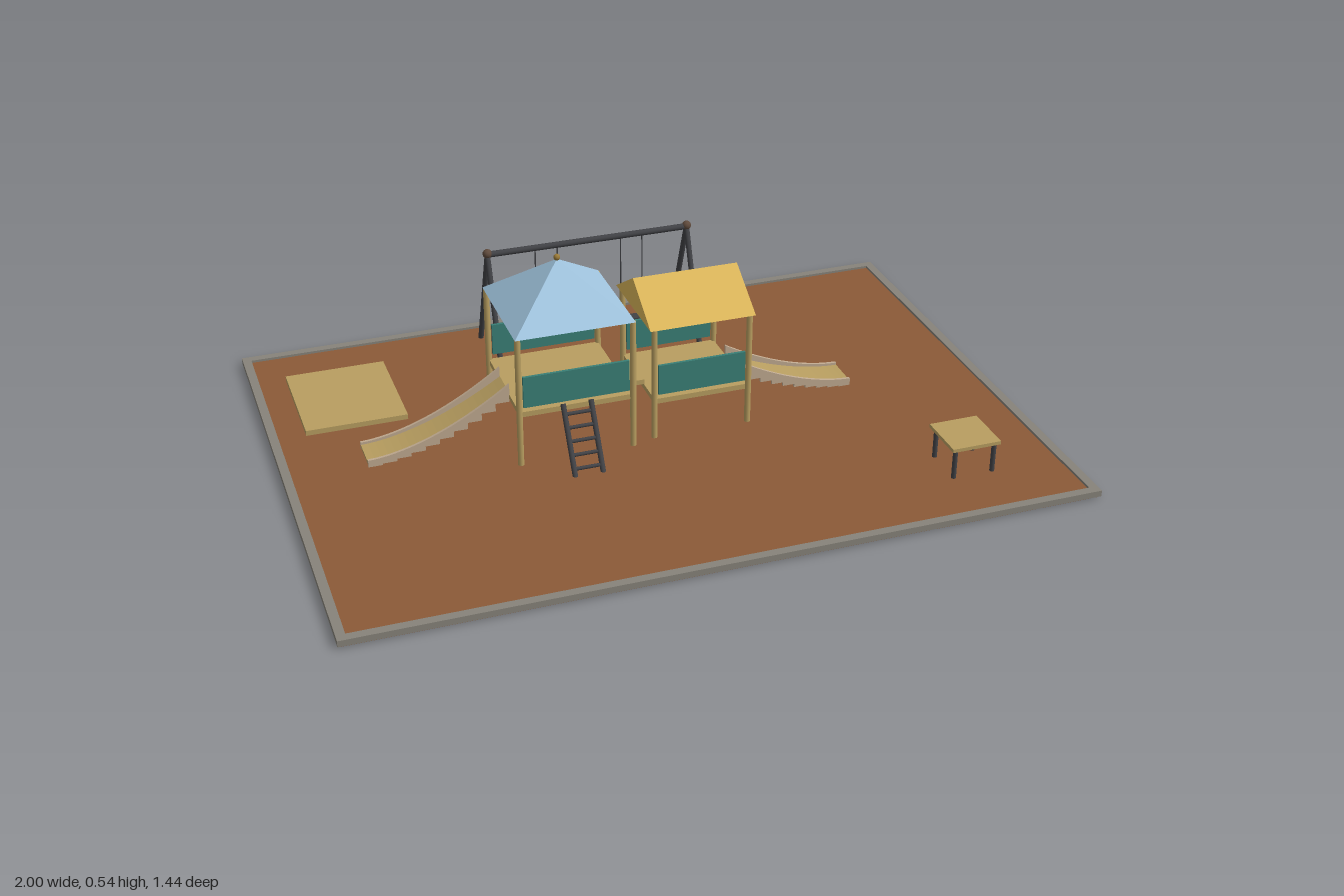
import * as THREE from 'three';

const mat = (name, color) => {
  const m = new THREE.MeshStandardMaterial({ color });
  m.name = name;
  return m;
};

export function createModel() {
  const root = new THREE.Group();
  root.name = 'playground';
  const M = {
    soil: mat('brown ground', 0x8b5a38),
    curb: mat('grey curb', 0x87837a),
    wood: mat('tan wood', 0xb89e60),
    slideWall: mat('beige slide side', 0xc0aa90),
    teal: mat('teal panel', 0x3a7f76),
    blue: mat('blue roof', 0xa0c4de),
    yellow: mat('yellow roof', 0xdbb65a),
    metal: mat('dark metal', 0x414246),
    joint: mat('dark brown joint', 0x5f4a3c),
    gold: mat('gold finial', 0x9a7a38),
  };
  const CZ = -0.058; // middle line of the towers
  const group = (name) => {
    const g = new THREE.Group();
    g.name = name;
    root.add(g);
    return g;
  };
  const add = (g, name, geo, material) => {
    const m = new THREE.Mesh(geo, material);
    m.name = name;
    g.add(m);
    return m;
  };
  // box given by its low and high corners
  const box = (g, name, material, [x0, y0, z0], [x1, y1, z1]) => {
    const m = add(g, name, new THREE.BoxGeometry(x1 - x0, y1 - y0, z1 - z0), material);
    m.position.set((x0 + x1) / 2, (y0 + y1) / 2, (z0 + z1) / 2);
    return m;
  };
  // round bar between two points
  const bar = (g, name, material, a, b, r, sides = 12) => {
    const p = new THREE.Vector3(...a), q = new THREE.Vector3(...b);
    const m = add(g, name, new THREE.CylinderGeometry(r, r, p.distanceTo(q), sides), material);
    m.position.copy(p).lerp(q, 0.5);
    m.quaternion.setFromUnitVectors(new THREE.Vector3(0, 1, 0), q.sub(p).normalize());
    return m;
  };
  const ball = (g, name, material, p, r) => {
    add(g, name, new THREE.SphereGeometry(r, 16, 12), material).position.set(...p);
  };

  // Ground slab with a raised curb
  const ground = group('ground');
  box(ground, 'groundSlab', M.soil, [-0.995, 0.001, -0.715], [0.995, 0.015, 0.715]);
  for (const s of [-1, 1]) {
    const z = s * 0.708, x = s * 0.988;
    box(ground, 'curbLong', M.curb, [-1, 0.005, z - 0.012], [1, 0.022, z + 0.012]);
    box(ground, 'curbShort', M.curb, [x - 0.012, 0.005, -0.696], [x + 0.012, 0.022, 0.696]);
  }
  box(ground, 'sandPad', M.wood, [-0.9, 0, -0.556], [-0.617, 0.03, -0.233]);

  // Tower: four posts, a deck, and panels front and back
  function tower(name, cx, hx, hz, postTop, deckTop, panelLow, panelHigh) {
    const g = group(name);
    for (const sx of [-1, 1]) for (const sz of [-1, 1]) {
      const x = cx + sx * hx, z = CZ + sz * hz;
      bar(g, 'post', M.wood, [x, 0, z], [x, postTop, z], 0.0085);
    }
    box(g, 'deck', M.wood, [cx - hx, deckTop - 0.015, CZ - hz], [cx + hx, deckTop, CZ + hz]);
    for (const s of [-1, 1]) {
      const z = CZ + s * hz;
      box(g, 'sidePanel', M.teal, [cx - hx + 0.011, panelLow, z - 0.004],
        [cx + hx - 0.011, panelHigh, z + 0.004]);
    }
    return g;
  }
  const tall = tower('tallTower', -0.229, 0.157, 0.156, 0.39, 0.173, 0.187, 0.277);
  const low = tower('lowTower', 0.13, 0.135, 0.135, 0.346, 0.132, 0.146, 0.234);

  // Pyramid roof with a finial
  const pyramid = add(tall, 'pyramidRoof',
    new THREE.ConeGeometry(0.164 * Math.SQRT2, 0.135, 4, 1, false, Math.PI / 4).toNonIndexed(), M.blue);
  pyramid.geometry.computeVertexNormals();
  pyramid.position.set(-0.23, 0.4575, CZ);
  bar(tall, 'finialStem', M.gold, [-0.23, 0.515, CZ], [-0.23, 0.53, CZ], 0.004);
  ball(tall, 'finial', M.gold, [-0.23, 0.53, CZ], 0.009);

  // Gable roof, its ridge along x
  const gable = new THREE.Shape([[-0.147, 0], [0.147, 0], [0, 0.09]].map((p) => new THREE.Vector2(...p)));
  const gableRoof = add(low, 'gableRoof',
    new THREE.ExtrudeGeometry(gable, { depth: 0.298, bevelEnabled: false }), M.yellow);
  gableRoof.rotation.y = Math.PI / 2;
  gableRoof.position.set(-0.02, 0.345, CZ);

  // Bridge between the towers
  box(group('bridge'), 'bridgeDeck', M.wood, [-0.075, 0.135, -0.11], [-0.005, 0.149, -0.007]);

  // Slide: side walls with a curved top and stepped underside, and a smooth bed.
  // Lengths run outward from the tower; s is the direction along x.
  function slide(name, startX, s, length, top, bottom) {
    const g = group(name);
    const end = 0.022, n = 10;
    const v = (x, y) => new THREE.Vector2(x, y);
    const ease = (t, h, e) => e + (h - e) * Math.pow(1 - t, 1.75);
    const topAt = (t) => ease(t, top, 0.043);
    const bottomAt = (t) => ease(t, bottom, end);
    const wall = [], bed = [];
    for (let i = 0; i <= 20; i++) wall.push(v(length * i / 20, topAt(i / 20)));
    for (let i = n; i > 0; i--) {
      const y = bottomAt((i - 0.5) / n);
      wall.push(v(length * i / n, y), v(length * (i - 1) / n, y));
    }
    for (let i = 0; i <= 20; i++) bed.push(v(length * i / 20, bottomAt(i / 20) + 0.014));
    for (let i = 20; i >= 0; i--) bed.push(v(length * i / 20, bottomAt(i / 20) + 0.006));
    const piece = (part, pts, material, z0, z1) => {
      const shape = new THREE.Shape(pts.map((p) => v(p.x * s, p.y)));
      const m = add(g, part, new THREE.ExtrudeGeometry(shape,
        { depth: z1 - z0, bevelEnabled: false }), material);
      m.position.set(startX, 0, z0);
    };
    piece('slideBed', bed, M.wood, CZ - 0.045, CZ + 0.045);
    for (const d of [-0.049, 0.049]) piece('slideWall', wall, M.slideWall, CZ + d - 0.004, CZ + d + 0.004);
  }
  slide('longSlide', -0.385, -1, 0.39, 0.203, 0.163);
  slide('shortSlide', 0.268, 1, 0.342, 0.157, 0.117);

  // Ladder leaning on the tall tower
  const ladder = group('ladder');
  const ladderZ = (y) => 0.1 + (0.175 - y) * 0.62;
  for (const x of [-0.267, -0.19]) {
    bar(ladder, 'ladderRail', M.metal, [x, 0.006, ladderZ(0.006)], [x, 0.178, ladderZ(0.178)], 0.0075);
  }
  for (let i = 0; i < 5; i++) {
    const y = 0.03 + i * 0.031;
    bar(ladder, 'ladderRung', M.metal, [-0.267, y, ladderZ(y)], [-0.19, y, ladderZ(y)], 0.005);
  }

  // Swing frame with two swings
  const swing = group('swingSet');
  const SZ = -0.514, SY = 0.342;
  bar(swing, 'topBeam', M.metal, [-0.305, SY, SZ], [0.298, SY, SZ], 0.009);
  for (const x of [-0.305, 0.298]) {
    ball(swing, 'frameJoint', M.joint, [x, SY + 0.003, SZ], 0.0135);
    for (const s of [-1, 1]) {
      bar(swing, 'frameLeg', M.metal, [x, 0.003, SZ + s * 0.126], [x, SY, SZ], 0.008);
    }
  }
  for (const x of [-0.131, 0.127]) {
    box(swing, 'swingSeat', M.metal, [x - 0.036, 0.064, SZ - 0.016], [x + 0.036, 0.073, SZ + 0.016]);
    for (const d of [-0.033, 0.033]) {
      bar(swing, 'swingRope', M.metal, [x + d, 0.07, SZ], [x + d, SY, SZ], 0.002, 6);
    }
  }

  // Small table
  const table = group('table');
  box(table, 'tableTop', M.wood, [0.657, 0.099, 0.4], [0.795, 0.109, 0.54]);
  for (const x of [0.67, 0.782]) for (const z of [0.416, 0.528]) {
    bar(table, 'tableLeg', M.metal, [x, 0, z], [x, 0.1, z], 0.0065);
  }
  return root;
}
